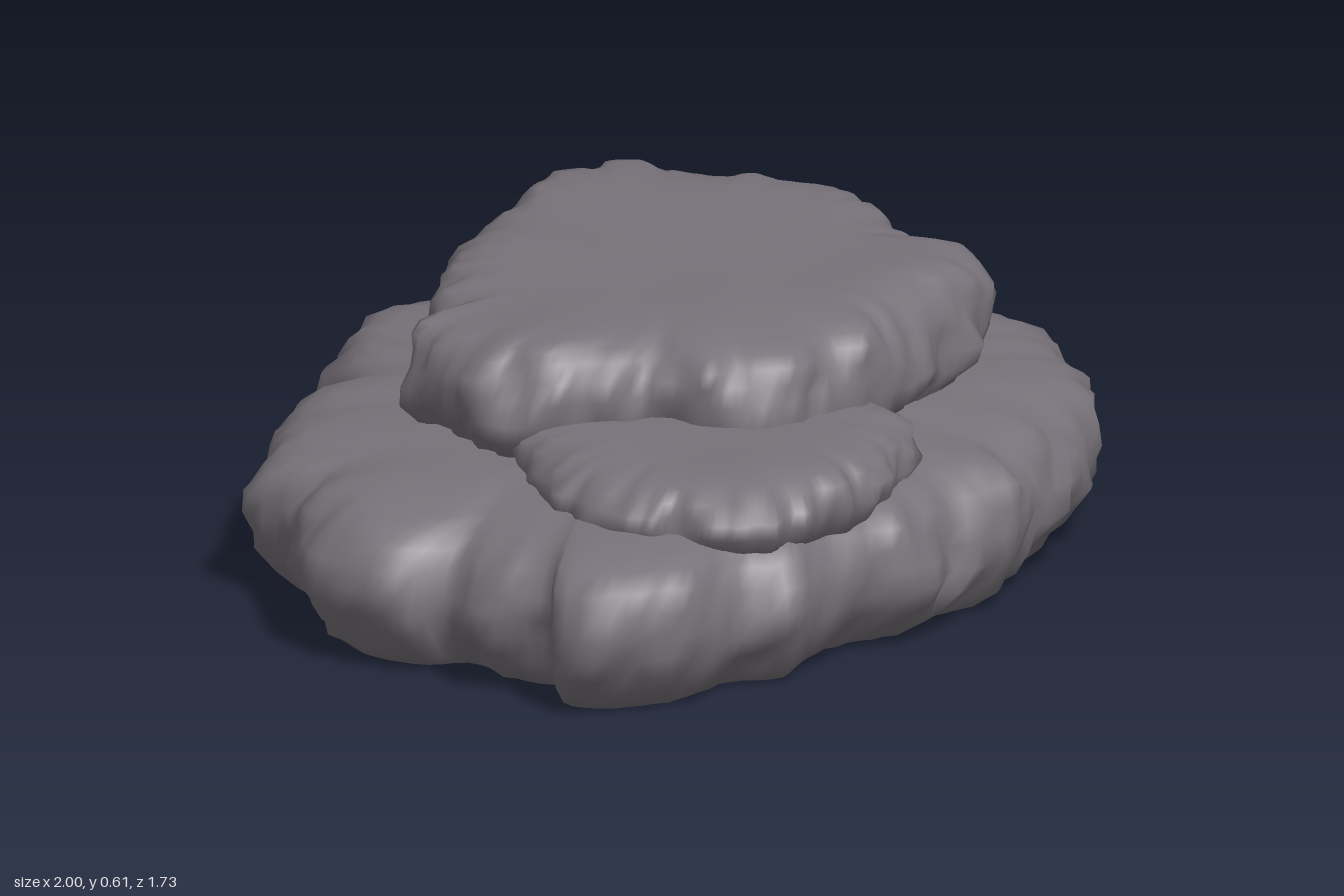
import * as THREE from 'three';

const SEGMENTS = 180;

// Seeded value noise, roughly -1..1
function hash(x, y, z) {
  const s = Math.sin(x * 127.1 + y * 311.7 + z * 74.7) * 43758.5453;
  return (s - Math.floor(s)) * 2 - 1;
}
function noise(x, y, z) {
  const ix = Math.floor(x), iy = Math.floor(y), iz = Math.floor(z);
  const ease = (t) => t * t * (3 - 2 * t);
  const u = ease(x - ix), v = ease(y - iy), w = ease(z - iz);
  const mix = THREE.MathUtils.lerp;
  const edge = (b, c) => mix(hash(ix, iy + b, iz + c), hash(ix + 1, iy + b, iz + c), u);
  return mix(mix(edge(0, 0), edge(1, 0), v), mix(edge(0, 1), edge(1, 1), v), w);
}

// A weathered slab: an outline of [x, z], running from +x towards +z, lofted
// through rings of [inset, y] and closed by rings shrinking to the centre.
function slab(name, outline, center, profile, material) {
  const [cx, cz] = center;
  const curve = new THREE.CatmullRomCurve3(
    outline.map(([x, z]) => new THREE.Vector3(x, 0, z)), true, 'centripetal');
  const edge = curve.getSpacedPoints(SEGMENTS).slice(0, SEGMENTS);
  const positions = [], index = [];

  const addRing = (inset, y, shrink, rough, bump) => {
    for (const p of edge) {
      const dx = p.x - cx, dz = p.z - cz, r = Math.hypot(dx, dz);
      const n = noise(p.x * 11, y * 14, p.z * 11) * 0.5 + noise(p.x * 24 + 7, y * 24, p.z * 24) * 0.5;
      const k = Math.max(0, (r - inset + n * rough) / r) * shrink;
      const x = cx + dx * k, z = cz + dz * k;
      positions.push(x, y + bump * noise(x * 5, y * 3, z * 5), z);
    }
  };

  // underside
  const [inset0, y0] = profile[0];
  for (const s of [0, 0.5, 0.93]) addRing(inset0, y0, s, 0.02, 0);
  // sides
  profile.forEach(([inset, y], j) => {
    const rim = j === 0 || j === profile.length - 1;
    addRing(inset, y, 1, rim ? 0.02 : 0.045, j === 0 ? 0 : 0.01);
  });
  // upper face
  const [inset1, y1] = profile[profile.length - 1];
  for (const s of [0.8, 0.6, 0.4, 0.2, 0]) addRing(inset1, y1, s, 0.02, 0.008);

  const rings = positions.length / 3 / SEGMENTS;
  for (let j = 0; j < rings - 1; j++) {
    for (let i = 0; i < SEGMENTS; i++) {
      const a = j * SEGMENTS + i, b = j * SEGMENTS + (i + 1) % SEGMENTS;
      const c = a + SEGMENTS, d = b + SEGMENTS;
      if (j !== rings - 2) index.push(c, d, b);
      if (j !== 0) index.push(a, c, b);
    }
  }
  const geometry = new THREE.BufferGeometry();
  geometry.setAttribute('position', new THREE.Float32BufferAttribute(positions, 3));
  geometry.setIndex(index);
  geometry.computeVertexNormals();
  const mesh = new THREE.Mesh(geometry, material);
  mesh.name = name;
  return mesh;
}

export function createModel() {
  const group = new THREE.Group();
  group.name = 'stackedRocks';
  const stone = new THREE.MeshStandardMaterial({ color: 0x777279 });

  // wide bottom slab
  const base = [
    [0.98, 0], [0.98, 0.2], [0.96, 0.36], [0.87, 0.47], [0.8, 0.58], [0.68, 0.68], [0.5, 0.76],
    [0.28, 0.82], [0.17, 0.86], [0, 0.83], [-0.12, 0.84], [-0.26, 0.78], [-0.4, 0.77], [-0.5, 0.78],
    [-0.6, 0.7], [-0.75, 0.68], [-0.88, 0.6], [-0.94, 0.47], [-0.88, 0.4], [-0.91, 0.25],
    [-0.88, 0.13], [-0.95, 0.06], [-0.98, -0.11], [-0.9, -0.25], [-0.8, -0.36], [-0.74, -0.5],
    [-0.58, -0.6], [-0.4, -0.69], [-0.2, -0.69], [-0.12, -0.79], [0, -0.83], [0.14, -0.87],
    [0.22, -0.83], [0.32, -0.75], [0.45, -0.76], [0.48, -0.68], [0.6, -0.61], [0.65, -0.5],
    [0.68, -0.38], [0.8, -0.28], [0.9, -0.19],
  ];
  group.add(slab('baseSlab', base, [0, 0], [
    [0.12, 0], [0.07, 0.04], [0.03, 0.09], [0.005, 0.14], [0, 0.19], [0.01, 0.24],
    [0.04, 0.285], [0.08, 0.315], [0.14, 0.335], [0.22, 0.347], [0.32, 0.355],
  ], stone));

  // thin middle slab, running under the top one
  const middle = [
    [0.22, 0.35], [0.15, 0.56], [0.05, 0.67], [-0.1, 0.74], [-0.3, 0.76], [-0.51, 0.71],
    [-0.59, 0.62], [-0.64, 0.5], [-0.68, 0.35], [-0.6, 0.17], [-0.5, 0.02], [-0.38, -0.08],
    [-0.15, -0.08], [0.1, 0.05],
  ];
  group.add(slab('middleSlab', middle, [-0.22, 0.35], [
    [0.02, 0.3], [0.0, 0.35], [0.005, 0.38], [0.03, 0.41], [0.07, 0.433], [0.13, 0.443], [0.2, 0.445],
  ], stone));

  // thick top slab
  const top = [
    [0.78, -0.1], [0.75, 0.05], [0.68, 0.18], [0.66, 0.3], [0.65, 0.42], [0.5, 0.5], [0.35, 0.52],
    [0.12, 0.55], [0, 0.52], [-0.15, 0.48], [-0.27, 0.37], [-0.3, 0.25], [-0.38, 0.17],
    [-0.48, 0.1], [-0.55, -0.04], [-0.5, -0.2], [-0.48, -0.29], [-0.38, -0.29], [-0.27, -0.4],
    [-0.15, -0.46], [-0.05, -0.53], [0.1, -0.56], [0.25, -0.6], [0.37, -0.64], [0.5, -0.6],
    [0.62, -0.55], [0.64, -0.42], [0.68, -0.3], [0.74, -0.2],
  ];
  group.add(slab('topSlab', top, [0.15, -0.04], [
    [0.06, 0.33], [0.045, 0.365], [0.01, 0.4], [0, 0.44], [0.005, 0.49], [0.015, 0.53],
    [0.035, 0.565], [0.065, 0.588], [0.11, 0.602], [0.18, 0.606],
  ], stone));

  return group;
}
